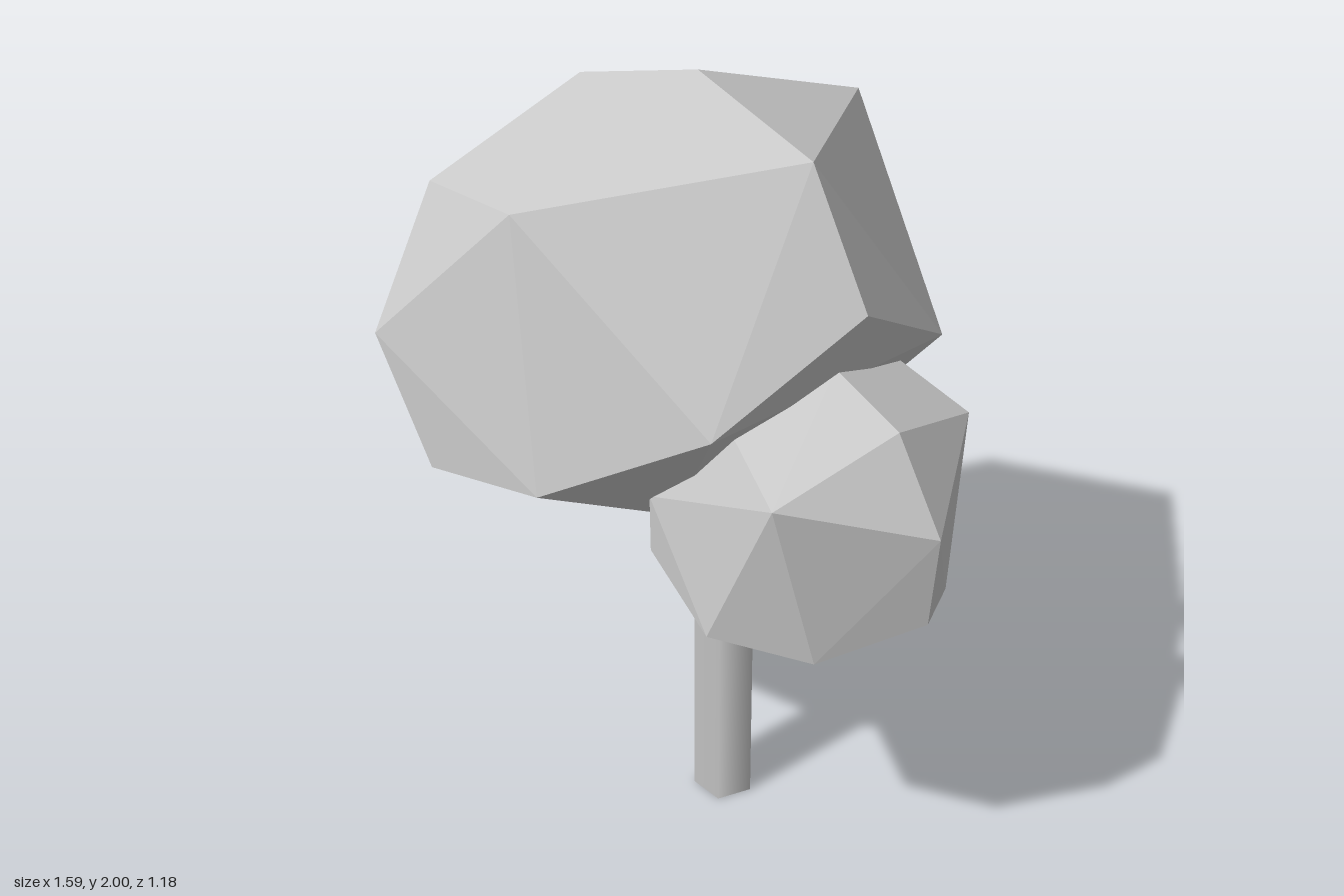
import * as THREE from 'three';
import { ConvexGeometry } from 'three/addons/geometries/ConvexGeometry.js';

// Faceted foliage clump from half its corners; corners off the z = 0 plane are mirrored
function clump(name, corners, material) {
  const points = [];
  for (const [x, y, z] of corners) {
    points.push(new THREE.Vector3(x, y, z));
    if (z > 0) points.push(new THREE.Vector3(x, y, -z));
  }
  const mesh = new THREE.Mesh(new ConvexGeometry(points), material);
  mesh.name = name;
  return mesh;
}

export function createModel() {
  const group = new THREE.Group();
  group.name = 'tree';
  const leafMaterial = new THREE.MeshStandardMaterial({ color: 0xcccccc, flatShading: true });
  const trunkMaterial = new THREE.MeshStandardMaterial({ color: 0xcccccc });

  // Five-sided trunk, one corner towards the back
  const trunk = new THREE.Mesh(new THREE.CylinderGeometry(0.08, 0.08, 1.04, 5, 1, false, Math.PI), trunkMaterial);
  trunk.position.set(0.09, 0.52, -0.005);
  trunk.name = 'trunk';
  group.add(trunk);

  // Large leaning crown
  group.add(clump('largeCrown', [
    [-0.01, 2, 0], [-0.43, 1.87, 0], [0.36, 1.9, 0], [0.54, 1.6, 0], [-0.8, 1.32, 0],
    [-0.02, 1.81, 0.53], [-0.55, 1.66, 0.37], [-0.5, 1.35, 0.59], [-0.31, 1.06, 0.585],
    [0.11, 1.18, 0.59], [0.44, 1.38, 0.365], [-0.43, 0.84, 0.2], [0.13, 0.97, 0.2],
  ], leafMaterial));

  // Smaller crown low on the left
  group.add(clump('smallCrown', [
    [0.45, 1.43, 0], [0.65, 1.355, 0], [0.79, 1.14, 0], [0.77, 0.9, 0], [0.44, 0.67, 0],
    [0.39, 1.34, 0.26], [0.58, 1.25, 0.315], [0.63, 0.82, 0.22], [0.41, 0.84, 0.35],
    [0.03, 0.87, 0.1], [0.17, 0.94, 0.31], [0.18, 1.1, 0.32],
  ], leafMaterial));

  return group;
}
